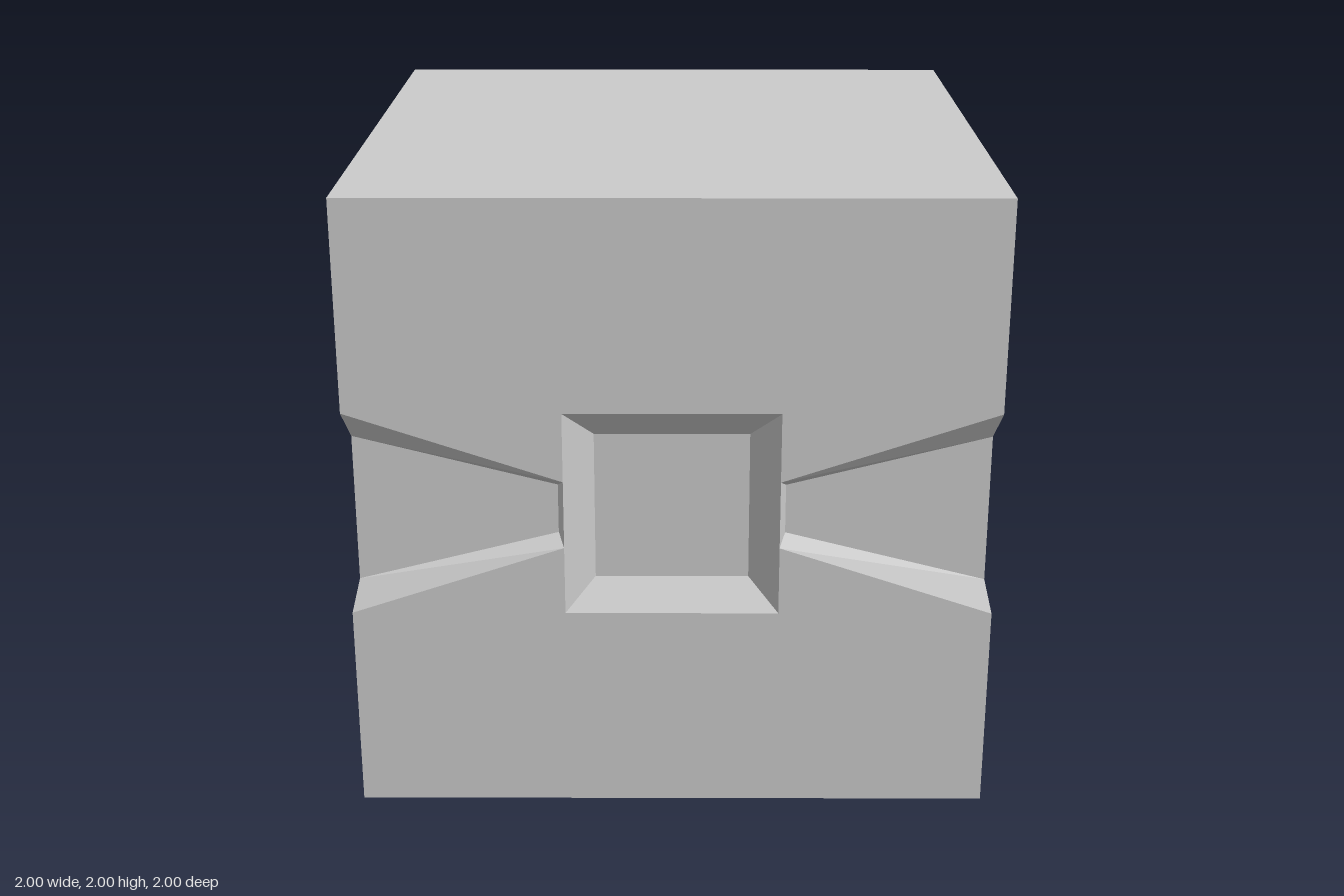
import * as THREE from 'three';

const H = 0.333;   // half size of the centre recess and the belt groove
const F = 0.24;    // half height of the groove floors
const E = 0.352;   // inner end of the groove floors
const X = 0.98;    // side groove floor
const Z = 0.945;   // front and back groove floors
const R = 0.925;   // centre recess floor

// Quads of one quarter (x >= 0, upper half), counter-clockwise from outside,
// with height measured from the middle of the block.
const parts = {
  frontFace: [
    [[0, H, 1], [H, H, 1], [H, 1, 1], [0, 1, 1]],
    [[H, 0.11, 1], [1, H, 1], [1, 1, 1], [H, 1, 1]],
  ],
  centreRecess: [
    [[0, 0, R], [F, 0, R], [F, F, R], [0, F, R]],
    [[0, H, 1], [0, F, R], [F, F, R], [H, H, 1]],
    [[H, 0, 1], [H, H, 1], [F, F, R], [F, 0, R]],
  ],
  // tapers towards the centre recess
  frontGroove: [
    [[E, 0, Z], [X, 0, Z], [X, F, Z], [E, 0.08, Z]],
    [[H, 0, 1], [E, 0, Z], [E, 0.08, Z], [H, 0.11, 1]],
    [[H, 0.11, 1], [E, 0.08, Z], [X, F, Z], [1, H, 1]],
  ],
  sideGroove: [
    [[X, 0, Z], [X, 0, -Z], [X, F, -Z], [X, F, Z]],
    [[X, F, Z], [X, F, -Z], [1, H, -1], [1, H, 1]],
  ],
  sideFace: [[[1, H, 1], [1, H, -1], [1, 1, -1], [1, 1, 1]]],
  topAndBottomFace: [[[0, 1, 1], [1, 1, 1], [1, 1, -1], [0, 1, -1]]],
  backFace: [
    [[H, 0, -1], [0, 0, -1], [0, 1, -1], [H, 1, -1]],
    [[1, H, -1], [H, H, -1], [H, 1, -1], [1, 1, -1]],
  ],
  backGroove: [
    [[X, 0, -Z], [E, 0, -Z], [E, F, -Z], [X, F, -Z]],
    [[H, 0, -1], [H, H, -1], [E, F, -Z], [E, 0, -Z]],
    [[1, H, -1], [X, F, -Z], [E, F, -Z], [H, H, -1]],
  ],
};

// Mirrors the quads left/right and up/down, flipping the winding when needed.
function mirroredGeometry(quads) {
  const positions = [];
  for (const sx of [1, -1]) for (const sy of [1, -1]) for (const quad of quads) {
    const order = sx * sy > 0 ? [0, 1, 2, 0, 2, 3] : [0, 2, 1, 0, 3, 2];
    for (const i of order) {
      const [x, y, z] = quad[i];
      positions.push(x * sx, 1 + y * sy, z);
    }
  }
  const geometry = new THREE.BufferGeometry();
  geometry.setAttribute('position', new THREE.Float32BufferAttribute(positions, 3));
  geometry.computeVertexNormals();
  return geometry;
}

export function createModel() {
  const group = new THREE.Group();
  group.name = 'groovedBlock';
  const material = new THREE.MeshStandardMaterial({ color: 0xcccccc, flatShading: true });
  for (const [name, quads] of Object.entries(parts)) {
    const mesh = new THREE.Mesh(mirroredGeometry(quads), material);
    mesh.name = name;
    group.add(mesh);
  }
  return group;
}
